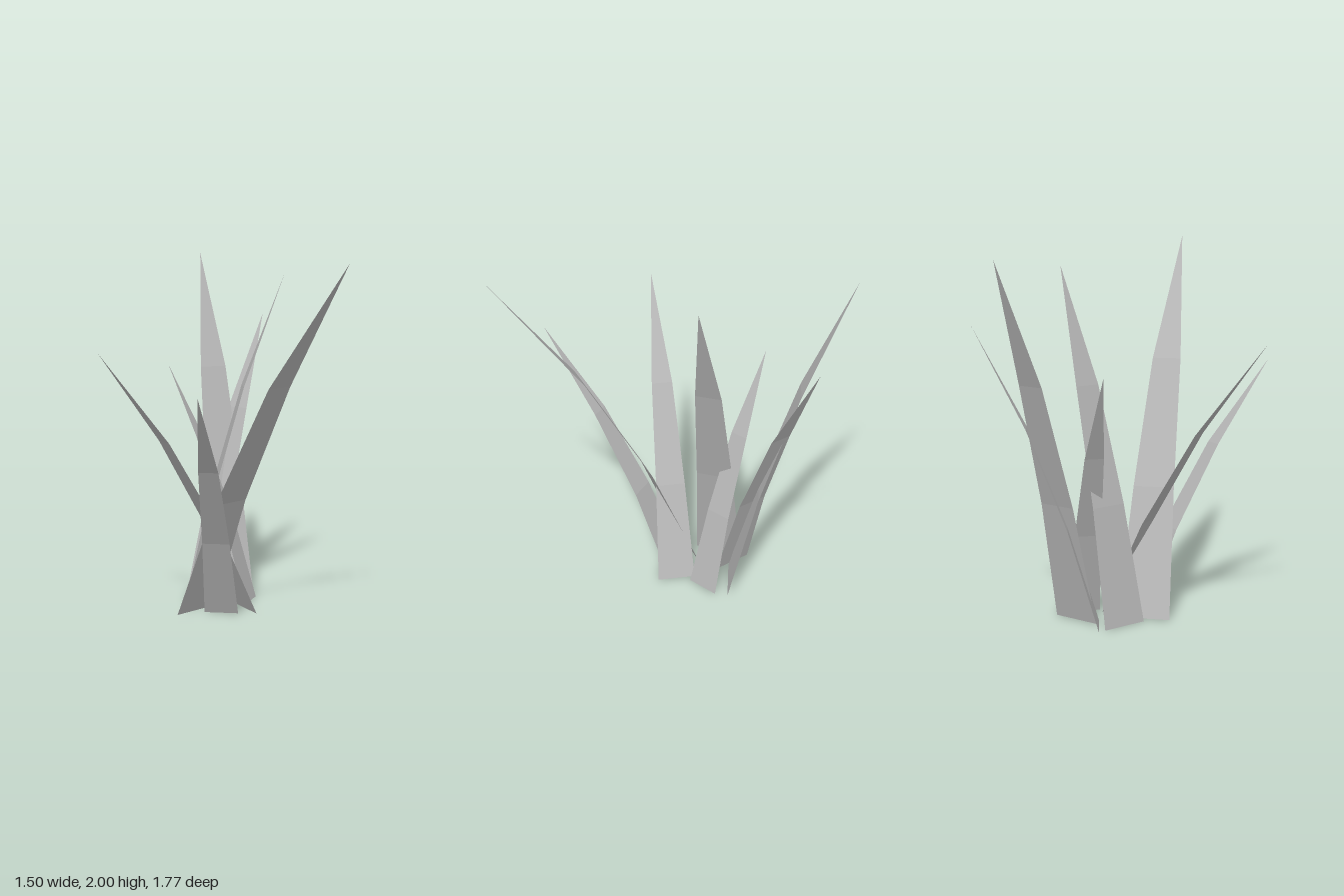
import * as THREE from 'three';

// Blade rows: height fraction, outward lean fraction, width fraction
const ROWS = [[0, 0, 1], [1 / 3, 0.248, 0.79], [2 / 3, 0.575, 0.56], [1, 1, 0]];

// Thin blade bending from its base centre (x, z) to its tip (x, y, z)
function bladeGeometry([bx, bz], [tx, ty, tz], width) {
  const dx = tx - bx, dz = tz - bz, len = Math.hypot(dx, dz);
  const px = -dz / len, pz = dx / len; // across the blade
  const pos = [], index = [];
  ROWS.forEach(([h, lean, w]) => {
    const sides = w ? [-1, 1] : [0];
    for (const s of sides) {
      const o = s * w * width / 2;
      pos.push(bx + dx * lean + px * o, ty * h, bz + dz * lean + pz * o);
    }
  });
  for (let i = 0; i < 4; i += 2) index.push(i, i + 2, i + 1, i + 1, i + 2, i + 3);
  index.push(4, 6, 5);
  const g = new THREE.BufferGeometry();
  g.setAttribute('position', new THREE.Float32BufferAttribute(pos, 3));
  g.setIndex(index);
  const flat = g.toNonIndexed();
  flat.computeVertexNormals();
  return flat;
}

export function createModel() {
  const group = new THREE.Group();
  group.name = 'grassTuft';
  const grey = new THREE.MeshStandardMaterial({
    color: 0xb5b5b5, flatShading: true, side: THREE.DoubleSide,
  });
  grey.name = 'grassGrey';

  // Base centre, tip, base width
  const blades = {
    frontBlade: [[-0.09, -0.25], [-0.095, 2.0, 0.885], 0.285],
    backBlade: [[0.26, -0.335], [0.525, 1.955, -0.885], 0.272],
    rightBlade: [[0.13, -0.07], [-0.75, 1.51, -0.27], 0.21],
    middleBlade: [[-0.02, -0.4], [0.405, 1.88, -0.055], 0.262],
    leftBlade: [[0.115, -0.426], [0.745, 1.6, -0.573], 0.224],
    frontRightBlade: [[-0.025, -0.115], [-0.67, 1.345, 0.408], 0.19],
    backShortBlade: [[0.26, -0.175], [0.04, 1.35, -0.625], 0.185],
  };
  for (const [name, spec] of Object.entries(blades)) {
    const mesh = new THREE.Mesh(bladeGeometry(...spec), grey);
    mesh.name = name;
    group.add(mesh);
  }
  return group;
}
